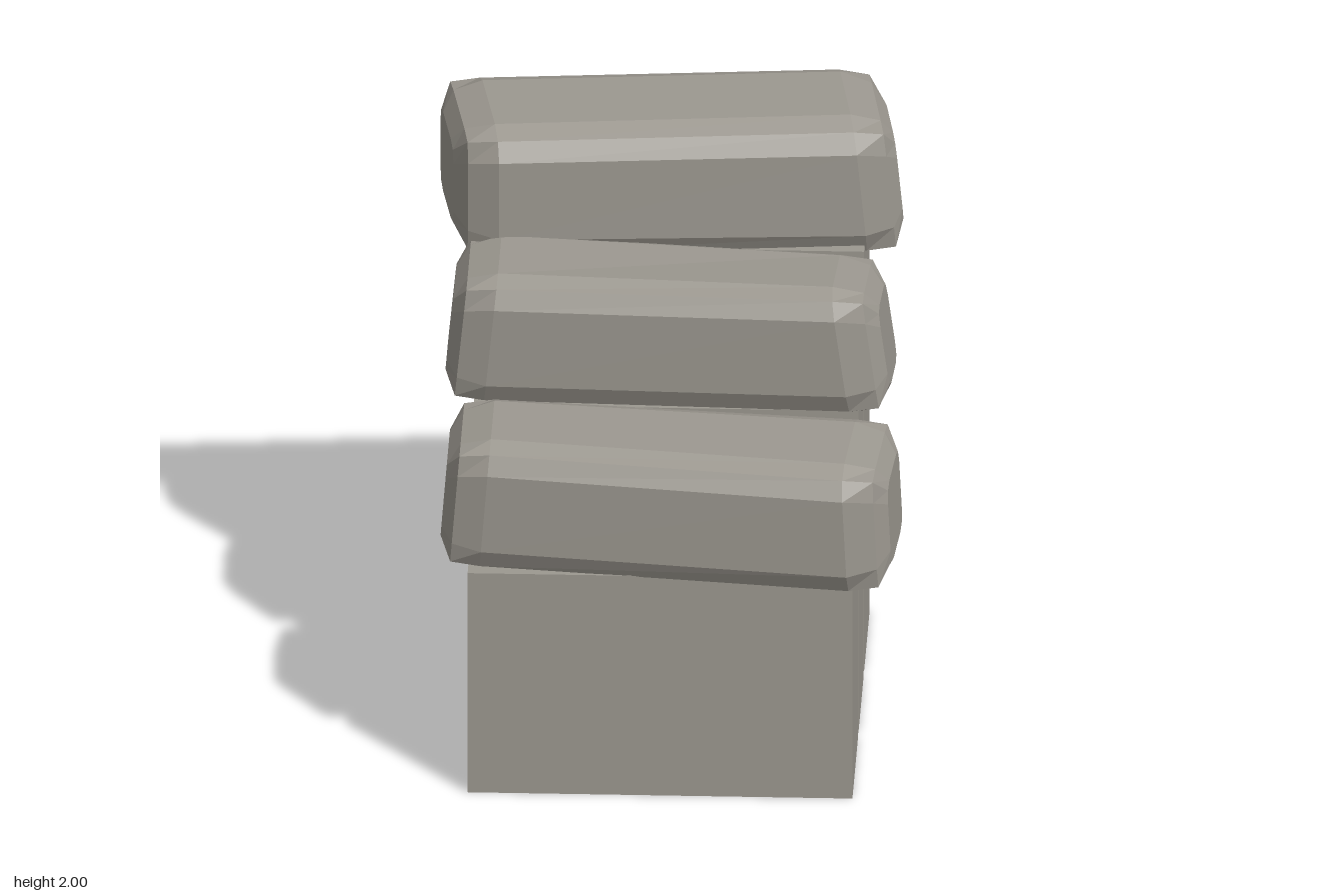
import * as THREE from 'three';

const stone = new THREE.MeshStandardMaterial({ color: 0x9c9890 });

// Rings along each slab: distance in from the end, ring scale, corner fullness
const ENDS = [
  { inset: 0, scale: 0.62, corner: 0.9 },
  { inset: 0.04, scale: 0.88, corner: 0.95 },
  { inset: 0.14, scale: 1, corner: 0.88 },
];

// Twelve-point bevelled rectangle in (y, z)
function section(corner) {
  const quarter = [[1, 0.6], [corner, corner], [0.6, 1]];
  const points = [];
  for (let q = 0; q < 4; q++) {
    for (let [y, z] of quarter) {
      for (let k = 0; k < q; k++) [y, z] = [-z, y];
      points.push([y, z]);
    }
  }
  return points;
}

// Each end: x, y range, z range, yaw and tilt of the end face, roll of the section
function ring(end, { inset, scale, corner }, side) {
  const [y0, y1] = end.y, [z0, z1] = end.z;
  return section(corner).map(([sy, sz]) => {
    const dy = sy * scale * (y1 - y0) / 2;
    const dz = sz * scale * (z1 - z0) / 2;
    return [
      end.x - side * inset + (end.yaw ?? 0) * dz + (end.tilt ?? 0) * dy,
      (y0 + y1) / 2 + dy + (end.roll ?? 0) * dz,
      (z0 + z1) / 2 + dz,
    ];
  });
}

function slabGeometry(left, right) {
  const rings = [
    ...ENDS.map((s) => ring(left, s, -1)),
    ...[...ENDS].reverse().map((s) => ring(right, s, 1)),
  ];
  const n = rings[0].length;
  const position = rings.flat(2);
  const index = [];
  for (let i = 0; i < rings.length - 1; i++) {
    for (let j = 0; j < n; j++) {
      const k = (j + 1) % n;
      const a = i * n + j, b = i * n + k, c = b + n, d = a + n;
      index.push(a, b, d, b, c, d);
    }
  }
  // End faces
  const last = (rings.length - 1) * n;
  for (let j = 1; j < n - 1; j++) {
    index.push(0, j + 1, j, last, last + j, last + j + 1);
  }
  const indexed = new THREE.BufferGeometry();
  indexed.setAttribute('position', new THREE.Float32BufferAttribute(position, 3));
  indexed.setIndex(index);
  const geometry = indexed.toNonIndexed(); // flat facets
  geometry.computeVertexNormals();
  return geometry;
}

const STEPS = [
  {
    name: 'frontStep', z: [0.3, 0.76], height: 0.81,
    low: { x: -0.735, y: [0.79, 1.255], z: [0.245, 0.75], tilt: 0.08 },
    high: { x: 0.775, y: [0.763, 1.225], z: [0.29, 0.845], yaw: -0.07, tilt: -0.05 },
  },
  {
    name: 'middleStep', z: [-0.19, 0.24], height: 1.19,
    low: { x: -0.735, y: [1.17, 1.635], z: [-0.25, 0.25], tilt: 0.1 },
    high: { x: 0.73, y: [1.15, 1.61], z: [-0.22, 0.288], yaw: -0.04, tilt: -0.14, roll: 0.08 },
  },
  {
    name: 'backStep', z: [-0.71, -0.25], height: 1.55,
    low: { x: -0.765, y: [1.53, 2], z: [-0.71, -0.135], yaw: 0.16 },
    high: { x: 0.73, y: [1.495, 1.99], z: [-0.845, -0.28], yaw: 0.14, tilt: -0.1 },
  },
];

export function createModel() {
  const model = new THREE.Group();
  model.name = 'stoneSteps';
  for (const { name, z, height, low, high } of STEPS) {
    const step = new THREE.Group();
    step.name = name;

    // Plain upright block
    const block = new THREE.Mesh(new THREE.BoxGeometry(1.29, height, z[1] - z[0]), stone);
    block.name = 'supportBlock';
    block.position.set(-0.005, height / 2, (z[0] + z[1]) / 2);

    // Rough rounded tread
    const tread = new THREE.Mesh(slabGeometry(low, high), stone);
    tread.name = 'stoneTread';

    step.add(block, tread);
    model.add(step);
  }
  return model;
}
